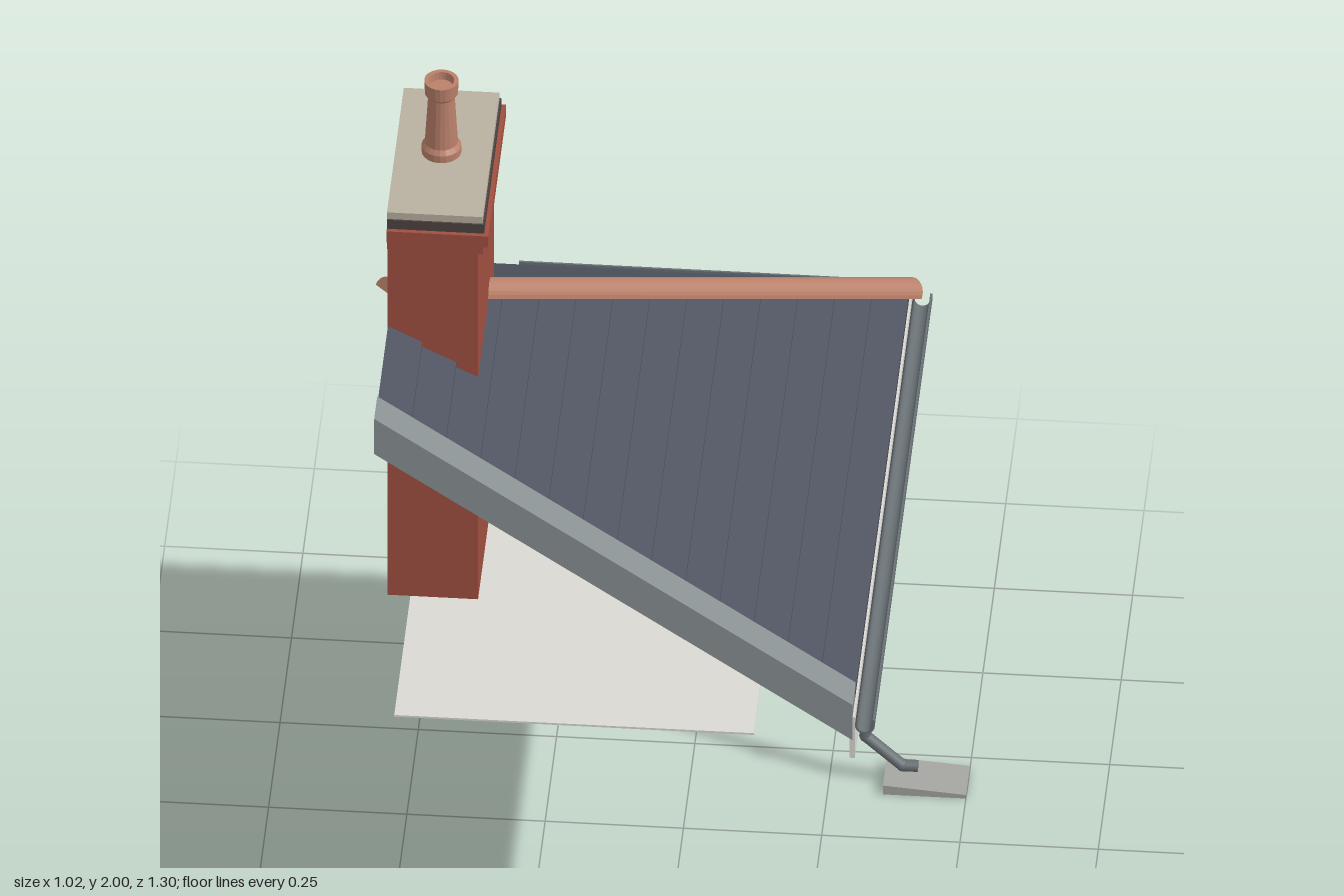
import * as THREE from 'three';

const mat = (name, color, side = THREE.FrontSide) => {
  const m = new THREE.MeshStandardMaterial({ color, side });
  m.name = name;
  return m;
};

export function createModel() {
  const M = {
    brick: mat('brick red', 0xa04f40),
    terracotta: mat('terracotta', 0xb9806a),
    slate: mat('slate', 0x4d535f, THREE.DoubleSide),
    deck: mat('dark underside', 0x3c4245, THREE.DoubleSide),
    verge: mat('verge grey', 0x878f91),
    white: mat('off white', 0xdad8d3, THREE.DoubleSide),
    gutter: mat('gutter grey', 0x687074, THREE.DoubleSide),
    mortar: mat('mortar', 0xb8b09f),
    band: mat('dark band', 0x4c4340),
    concrete: mat('concrete', 0xa3a3a0),
  };
  const root = new THREE.Group();

  const add = (name, geo, material, x = 0, y = 0, z = 0) => {
    const mesh = new THREE.Mesh(geo, material);
    mesh.name = name;
    mesh.position.set(x, y, z);
    root.add(mesh);
    return mesh;
  };
  // box given by its minimum and maximum corners
  const box = (name, material, [x0, y0, z0], [x1, y1, z1]) =>
    add(name, new THREE.BoxGeometry(x1 - x0, y1 - y0, z1 - z0), material,
      (x0 + x1) / 2, (y0 + y1) / 2, (z0 + z1) / 2);
  // cylinder between two points
  const rod = (name, material, a, b, r, sides = 8) => {
    const A = new THREE.Vector3(...a), B = new THREE.Vector3(...b);
    const d = B.clone().sub(A);
    const mesh = add(name, new THREE.CylinderGeometry(r, r, d.length(), sides), material);
    mesh.position.copy(A).add(B).multiplyScalar(0.5);
    mesh.quaternion.setFromUnitVectors(new THREE.Vector3(0, 1, 0), d.normalize());
    return mesh;
  };
  // flat-shaded mesh from four-cornered faces
  const faces = (name, material, quads) => {
    const pos = [];
    for (const [a, b, c, d] of quads) pos.push(...a, ...b, ...c, ...a, ...c, ...d);
    const g = new THREE.BufferGeometry();
    g.setAttribute('position', new THREE.Float32BufferAttribute(pos, 3));
    g.computeVertexNormals();
    return add(name, g, material);
  };

  // Roof: two slopes meeting at a 45 degree hip; u runs up the slope, v along the eave
  const X = 0.38, Z = -0.61, EAVE = 0.975, PITCH = 0.69, RUN = 0.865, THICK = 0.062;
  const COURSES = 14, STEP = 0.011;
  const height = (u) => EAVE + u * PITCH;
  const slope = (name, V, place, flip) => {
    const q = (...c) => (flip ? c.reverse() : c);
    const slates = [];
    for (let i = 0; i < COURSES; i++) {
      const u0 = (RUN * i) / COURSES, u1 = (RUN * (i + 1)) / COURSES;
      const y0 = height(u0), y1 = height(u1);
      slates.push(q(place(u0, u0, y0 + STEP), place(u1, u1, y1), place(u1, V, y1), place(u0, V, y0 + STEP)));
      slates.push(q(place(u0, u0, y0), place(u0, u0, y0 + STEP), place(u0, V, y0 + STEP), place(u0, V, y0)));
    }
    faces(name + 'Slates', M.slate, slates);
    const lo = height(0) - THICK, hi = height(RUN) - THICK;
    faces(name + 'Underside', M.deck, [
      q(place(0, 0, lo), place(0, V, lo), place(RUN, V, hi), place(RUN, RUN, hi)),
      q(place(0, V, lo), place(0, V, height(0)), place(RUN, V, height(RUN)), place(RUN, V, hi)),
      q(place(0, 0, lo), place(0, 0, height(0)), place(0, V, height(0)), place(0, V, lo)),
      q(place(RUN, RUN, hi), place(RUN, V, hi), place(RUN, V, height(RUN)), place(RUN, RUN, height(RUN))),
    ]);
  };
  slope('sideSlope', 1.2, (u, v, y) => [X - u, y, Z + v], true);
  slope('backSlope', RUN, (u, v, y) => [X - v, y, Z + u], false);

  // Verge strip along the open front edge
  const top = 0.02, low = -0.06;
  const vergeShape = new THREE.Shape([
    [X, EAVE + low], [X, EAVE + top],
    [X - RUN, height(RUN) + top], [X - RUN, height(RUN) + low],
  ].map((p) => new THREE.Vector2(...p)));
  add('verge', new THREE.ExtrudeGeometry(vergeShape, { depth: 0.067, bevelEnabled: false }), M.verge, 0, 0, 0.578);

  // Hip tiles: half-round bar along the hip
  const hipStart = new THREE.Vector3(X + 0.004, EAVE - 0.002, Z + 0.006);
  const hipEnd = new THREE.Vector3(X - RUN - 0.012, height(RUN) + 0.01, Z + RUN + 0.002);
  const hipShape = new THREE.Shape();
  hipShape.absarc(0, 0, 0.027, 0, Math.PI, false);
  const hip = add('hipTiles', new THREE.ExtrudeGeometry(hipShape,
    { depth: hipStart.distanceTo(hipEnd), bevelEnabled: false, curveSegments: 6 }), M.terracotta);
  hip.position.copy(hipStart);
  hip.lookAt(hipEnd);

  // Fascia boards and ceiling panel
  box('sideFascia', M.white, [0.374, 0.875, -0.615], [0.384, 0.968, 0.645]);
  box('backFascia', M.white, [-0.485, 0.875, -0.615], [0.384, 0.968, -0.605]);
  box('ceiling', M.white, [-0.45, 0.904, -0.44], [0.2, 0.908, 0.63]);

  // Gutters: open half-round channels
  const gutter = (name, length) => {
    const w = 0.018, t = 0.004;
    const s = new THREE.Shape();
    s.moveTo(-w, 0);
    s.absarc(0, -0.014, w, Math.PI, Math.PI * 2, false);
    s.lineTo(w, 0);
    s.lineTo(w - t, 0);
    s.absarc(0, -0.014, w - t, Math.PI * 2, Math.PI, true);
    s.lineTo(t - w, 0);
    return add(name, new THREE.ExtrudeGeometry(s, { depth: length, bevelEnabled: false, curveSegments: 6 }), M.gutter);
  };
  gutter('sideGutter', 1.26).position.set(0.402, 0.963, -0.615);
  const backGutter = gutter('backGutter', 0.715);
  backGutter.position.set(-0.33, 0.963, -0.633);
  backGutter.rotation.y = Math.PI / 2;

  // Downpipe with offset bends, clips and outlet shoe
  const pz = -0.42;
  const path = [[0.402, 0.935], [0.402, 0.905], [0.315, 0.83], [0.315, 0.1], [0.382, 0.037], [0.41, 0.037]];
  for (let i = 0; i + 1 < path.length; i++)
    rod('downpipe', M.gutter, [...path[i], pz], [...path[i + 1], pz], 0.011);
  for (const [x, y] of path.slice(1, 5))
    add('pipeBend', new THREE.SphereGeometry(0.0115, 8, 6), M.gutter, x, y, pz);
  for (const y of [0.565, 0.23]) {
    rod('pipeCollar', M.gutter, [0.315, y - 0.005, pz], [0.315, y + 0.005, pz], 0.0135);
    box('pipeClip', M.gutter, [0.288, y - 0.004, pz - 0.008], [0.315, y + 0.004, pz + 0.008]);
  }

  // Splash block: wedge falling away from the pipe
  const wedge = new THREE.Shape([[0.35, 0], [0.5, 0], [0.5, 0.008], [0.35, 0.02]]
    .map((p) => new THREE.Vector2(...p)));
  add('splashBlock', new THREE.ExtrudeGeometry(wedge, { depth: 0.086, bevelEnabled: false }), M.concrete, 0, 0, -0.465);

  // Chimney: shaft, stepped corbels and cap, all flush on the left face
  const stack = (name, material, y0, y1, out) =>
    box(name, material, [-0.486, y0, -0.005 - out], [-0.322 + out, y1, 0.345 + out]);
  stack('chimneyShaft', M.brick, 0.96, 1.755, 0);
  stack('lowerCorbel', M.brick, 1.755, 1.778, 0.01);
  stack('upperCorbel', M.brick, 1.778, 1.803, 0.02);
  stack('neckCourse', M.band, 1.803, 1.823, 0.012);
  stack('chimneyCap', M.mortar, 1.823, 1.838, 0.009);

  // Chimney pot
  const pot = [[0.036, 1.835], [0.036, 1.853], [0.03, 1.862], [0.024, 1.965], [0.03, 1.972],
    [0.031, 2.0], [0.023, 2.0], [0.021, 1.985], [0, 1.985]].map((p) => new THREE.Vector2(...p));
  const potMesh = add('chimneyPot', new THREE.LatheGeometry(pot, 20), M.terracotta, -0.403, 0, 0.166);
  potMesh.geometry = potMesh.geometry.toNonIndexed();
  potMesh.geometry.computeVertexNormals();

  return root;
}
